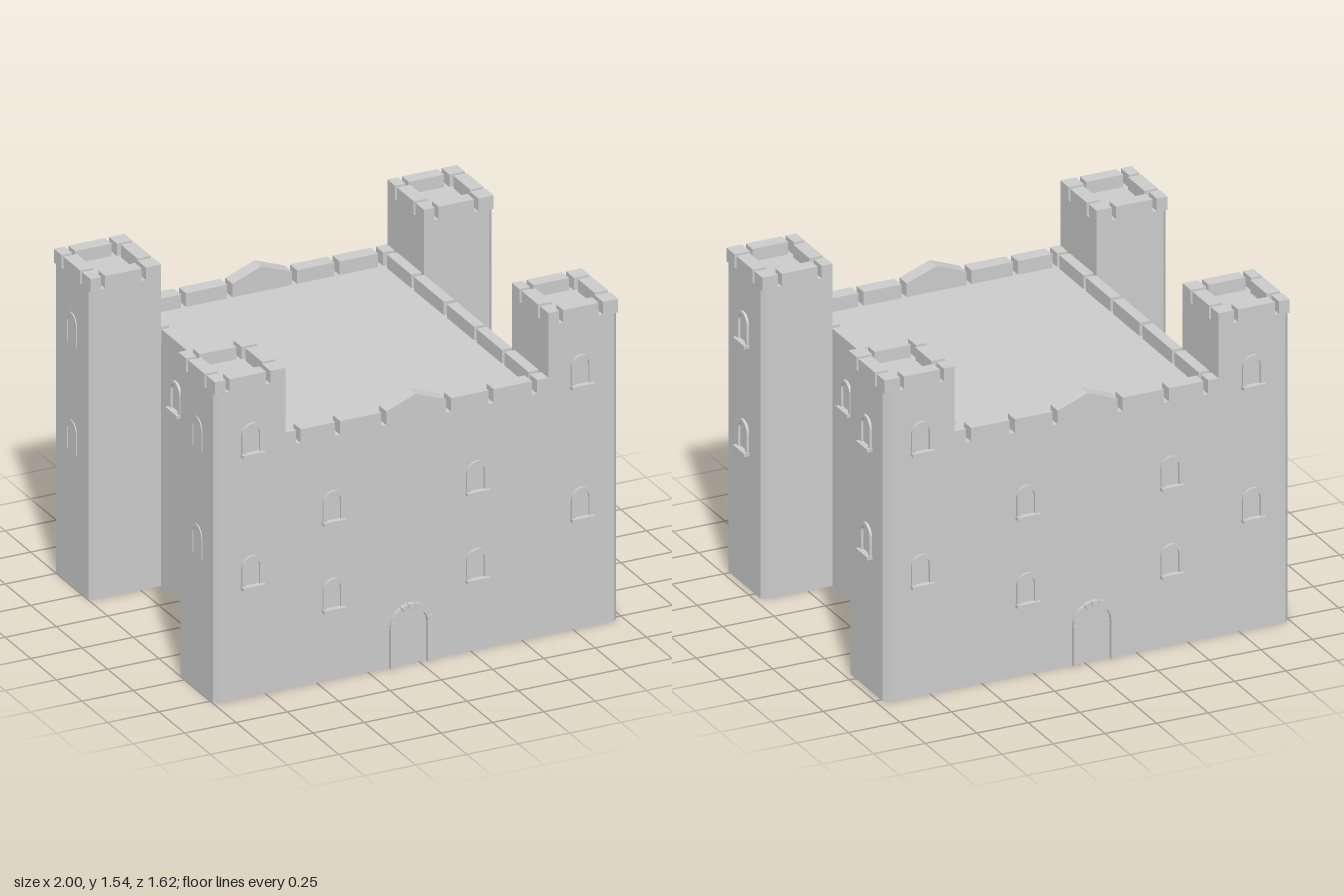
import * as THREE from 'three';

const WALL_TOP = 1.165, MERLON_TOP = 1.23, TOWER_TOP = 1.48, TOWER_MERLON_TOP = 1.54;
const X_MIN = -0.995, X_MAX = 0.97, CORE_L = -0.65, CORE_R = 0.63, Z = 0.785;

const stone = new THREE.MeshStandardMaterial({ color: 0xcccccc, flatShading: true });

function add(parent, name, geometry) {
  const mesh = new THREE.Mesh(geometry, stone);
  mesh.name = name;
  parent.add(mesh);
  return mesh;
}

// Box given by its limits on each axis
function block(parent, name, x0, x1, y0, y1, z0, z1) {
  const mesh = add(parent, name, new THREE.BoxGeometry(x1 - x0, y1 - y0, z1 - z0));
  mesh.position.set((x0 + x1) / 2, (y0 + y1) / 2, (z0 + z1) / 2);
  return mesh;
}

const polygon = (pts) => new THREE.Shape(pts.map(([x, y]) => new THREE.Vector2(x, y)));
const extrude = (shape, depth, curveSegments = 10) =>
  new THREE.ExtrudeGeometry(shape, { depth, bevelEnabled: false, curveSegments });

// Arched window surround, facing +z, base at y = 0
function makeWindow(depth, withSill) {
  const group = new THREE.Group();
  group.name = 'window';
  const R = 0.052, r = 0.034, spring = 0.1;
  const s = new THREE.Shape();
  s.moveTo(R, 0);
  s.lineTo(R, spring);
  s.absarc(0, spring, R, 0, Math.PI, false);
  s.lineTo(-R, 0);
  s.lineTo(-r, 0);
  s.lineTo(-r, spring);
  s.absarc(0, spring, r, Math.PI, 0, true);
  s.lineTo(r, 0);
  add(group, 'windowSurround', extrude(s, depth + 0.01)).position.z = -0.01;
  if (withSill) block(group, 'windowSill', -0.055, 0.055, -0.004, 0.012, -0.01, 0.027);
  return group;
}

// Doorway with two jambs and an arch of wedge stones
function makeDoor() {
  const group = new THREE.Group();
  group.name = 'doorway';
  const R = 0.104, r = 0.077, spring = 0.19, depth = 0.02, count = 9;
  for (const side of [-1, 1]) {
    const xs = [side * r, side * R].sort((a, b) => a - b);
    block(group, 'doorJamb', xs[0], xs[1], 0, spring, -0.01, depth);
  }
  for (let i = 0; i < count; i++) {
    const a = Math.PI * i / count + 0.012, b = Math.PI * (i + 1) / count - 0.012;
    const wedge = polygon([[R, a], [R, (a + b) / 2], [R, b], [r, b], [r, (a + b) / 2], [r, a]]
      .map(([q, t]) => [q * Math.cos(t), spring + q * Math.sin(t)]));
    add(group, 'archStone', extrude(wedge, depth + 0.01)).position.z = -0.01;
  }
  return group;
}

// Tower with bevelled outer corners and a notched parapet
function makeTower(parent, x0, x1, z0, z1) {
  const group = new THREE.Group();
  group.name = 'tower';
  parent.add(group);
  const c = 0.02, left = x0 < 0;
  const outline = left
    ? [[x0 + c, z0], [x1, z0], [x1, z1], [x0 + c, z1], [x0, z1 - c], [x0, z0 + c]]
    : [[x0, z0], [x1 - c, z0], [x1, z0 + c], [x1, z1 - c], [x1 - c, z1], [x0, z1]];
  const shaft = add(group, 'towerShaft',
    extrude(polygon(outline.map(([x, z]) => [x, -z])), TOWER_TOP));
  shaft.rotation.x = -Math.PI / 2;

  const t = 0.065, a = 0.052, y0 = TOWER_TOP - 0.005, y1 = TOWER_MERLON_TOP;
  const wx = x1 - x0, wz = z1 - z0;
  const nx = [a, a + 0.02, wx - 0.095, wx - 0.075]; // notch limits along x
  const nz = [0.075, 0.095, wz - 0.1, wz - 0.08];   // notch limits along z
  // corner stones: L-shaped in plan, from two overlapping arms
  for (const [cx0, cx1] of [[0, nx[0]], [nx[3], wx]]) {
    for (const [cz0, cz1] of [[0, nz[0]], [nz[3], wz]]) {
      block(group, 'cornerMerlon', x0 + cx0, x0 + cx1, y0, y1, z0 + cz0, z0 + cz1);
    }
  }
  for (const z of [z0, z1 - t]) block(group, 'towerMerlon', x0 + nx[1], x0 + nx[2], y0, y1, z, z + t);
  for (const x of [x0, x1 - t]) block(group, 'towerMerlon', x, x + t, y0, y1, z0 + nz[1], z0 + nz[2]);
}

export function createModel() {
  const castle = new THREE.Group();
  castle.name = 'castle';

  // Main hall and four corner towers
  block(castle, 'hall', CORE_L, CORE_R, 0, WALL_TOP, -Z, Z);
  for (const [z0, z1] of [[-Z, -0.428], [0.428, Z]]) {
    makeTower(castle, X_MIN, CORE_L, z0, z1);
    makeTower(castle, CORE_R, X_MAX, z0, z1);
  }

  // Front and back parapets with a low gable stone in the middle
  const frontRuns = [[CORE_L, -0.6], [-0.577, -0.41], [-0.385, -0.185],
    [0.155, 0.338], [0.363, 0.55], [0.575, CORE_R]];
  const gable = polygon([[-0.16, WALL_TOP - 0.005], [0.13, WALL_TOP - 0.005], [0.13, MERLON_TOP],
    [-0.017, 1.285], [-0.16, MERLON_TOP]]);
  for (const z of [-Z, Z - 0.07]) {
    for (const [a, b] of frontRuns) {
      block(castle, 'wallMerlon', a, b, WALL_TOP - 0.005, MERLON_TOP, z, z + 0.07);
    }
    add(castle, 'gableStone', extrude(gable, 0.07)).position.z = z;
  }

  // Side parapets
  const sideRuns = [[-0.69, -0.45], [-0.425, -0.135], [-0.105, 0.16], [0.185, 0.43], [0.455, 0.69]];
  for (const x of [CORE_L, CORE_R - 0.05]) {
    for (const [a, b] of sideRuns) {
      block(castle, 'sideMerlon', x, x + 0.05, WALL_TOP - 0.005, MERLON_TOP, a, b);
    }
  }

  const place = (part, x, y, z, turn) => {
    part.position.set(x, y, z);
    part.rotation.y = turn;
    castle.add(part);
  };

  // Front and back openings
  for (const side of [1, -1]) {
    const turn = side > 0 ? 0 : Math.PI;
    for (const x of [-0.815, 0.79]) {
      for (const y of [0.525, 1.16]) place(makeWindow(0.012, true), x, y, side * Z, turn);
    }
    for (const x of [-0.42, 0.28]) {
      for (const y of [0.335, 0.755]) place(makeWindow(0.012, true), x, y, side * Z, turn);
    }
    place(makeDoor(), -0.043, 0, side * Z, turn);
  }

  // Side openings; the left tower ones sit almost flush with the wall
  for (const side of [1, -1]) {
    const turn = side * Math.PI / 2;
    const towerX = side > 0 ? X_MAX : X_MIN, wallX = side > 0 ? CORE_R : CORE_L;
    for (const z of [-0.61, 0.61]) {
      for (const y of [0.64, 1.155]) {
        place(makeWindow(side > 0 ? 0.012 : 0.005, side > 0), towerX, y, z, turn);
      }
    }
    for (const z of [-0.28, 0.285]) place(makeWindow(0.012, true), wallX, 0.89, z, turn);
    place(makeWindow(0.012, true), wallX, 0.5, 0.01, turn);
    place(makeDoor(), wallX, 0, 0.01, turn);
  }
  return castle;
}
